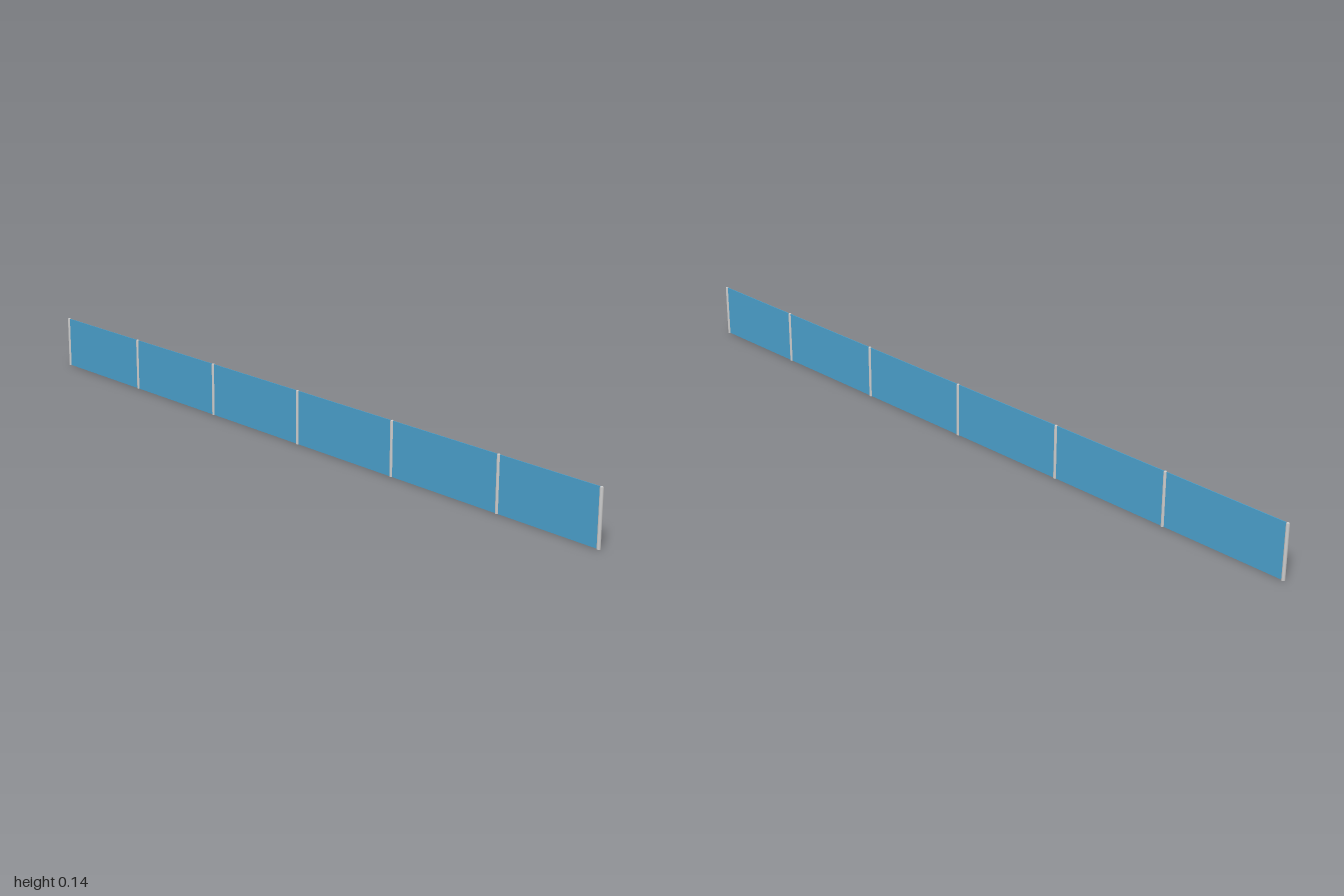
import * as THREE from 'three';

export function createModel() {
  const group = new THREE.Group();
  const grey = new THREE.MeshStandardMaterial({ color: 0xcccccc });
  const blue = new THREE.MeshStandardMaterial({ color: 0x4a9fcb });

  const height = 0.14, radius = 0.0045, bevel = 0.002;
  const first = -1 + radius, last = 1 - radius, spacing = 0.34;

  // Evenly spaced posts, with a shorter last bay
  const xs = [];
  for (let i = 0; i < 6; i++) xs.push(first + i * spacing);
  xs.push(last);

  // Slim round post with a slightly bevelled top
  const profile = [
    [0, 0], [radius, 0], [radius, height - bevel], [radius - bevel, height], [0, height],
  ].map(([r, y]) => new THREE.Vector2(r, y));
  const postGeometry = new THREE.LatheGeometry(profile, 12);

  xs.forEach((x, i) => {
    const post = new THREE.Mesh(postGeometry, grey);
    post.name = 'post' + (i + 1);
    post.position.x = x;
    group.add(post);
  });

  // Thin infill panel between each pair of posts
  const panelHeight = height - 0.001;
  for (let i = 0; i < xs.length - 1; i++) {
    const panel = new THREE.Mesh(
      new THREE.BoxGeometry(xs[i + 1] - xs[i] - radius, panelHeight, 0.002), blue);
    panel.name = 'panel' + (i + 1);
    panel.position.set((xs[i] + xs[i + 1]) / 2, panelHeight / 2, 0);
    group.add(panel);
  }

  return group;
}
